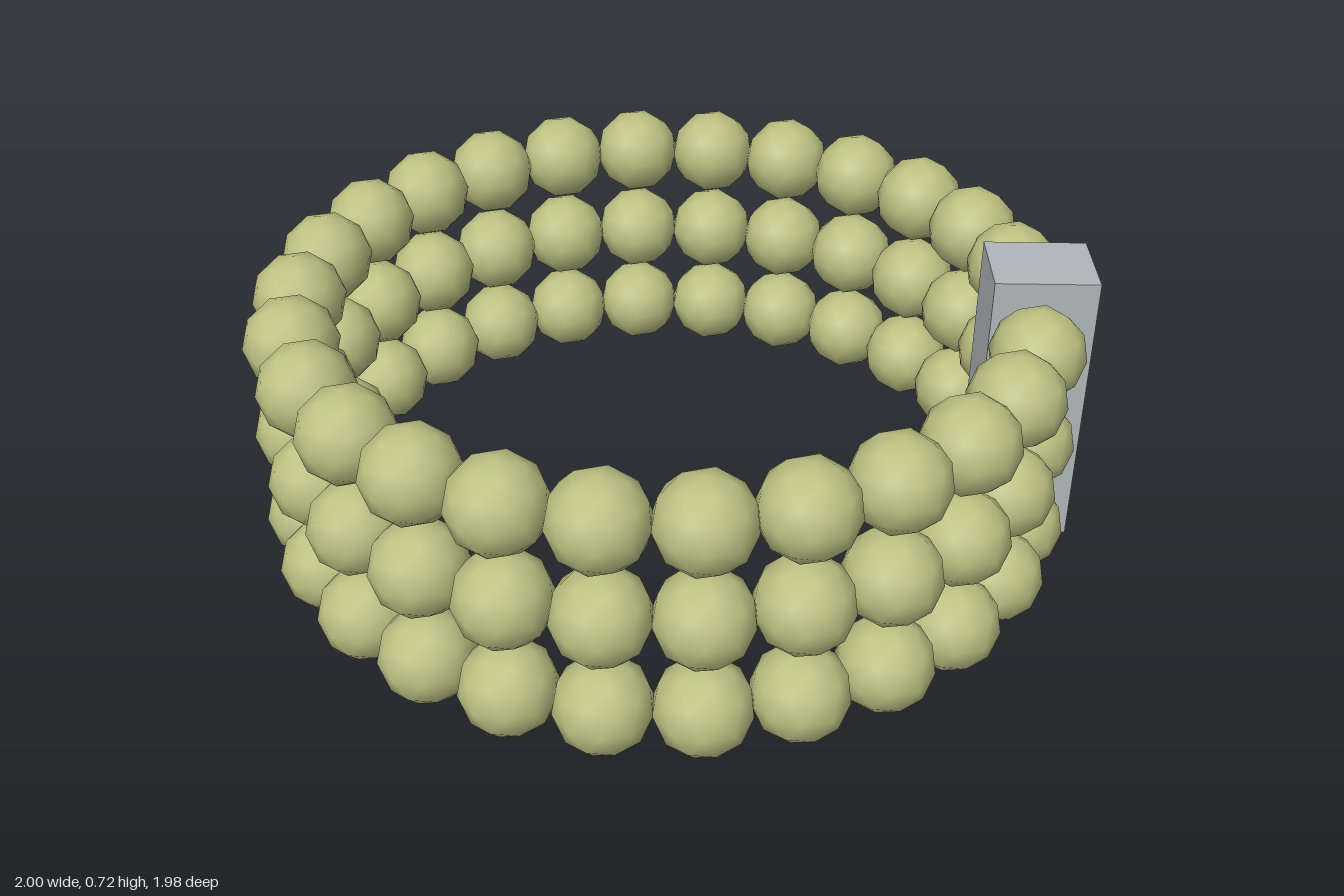
import * as THREE from 'three';

const RING_RADIUS = 0.8835;
const BEAD_RADIUS = 0.113;
const BEADS_PER_ROW = 26;
const ROW_HEIGHTS = [0.113, 0.355, 0.597];
const CENTRE_X = -0.0125;
const CENTRE_Z = -0.0025;

export function createModel() {
  const beadOlive = new THREE.MeshStandardMaterial({ color: 0xbcc182 });
  beadOlive.name = 'beadOlive';
  const claspGrey = new THREE.MeshStandardMaterial({ color: 0xb0b6ba });
  claspGrey.name = 'claspGrey';

  const model = new THREE.Group();
  model.name = 'bracelet';

  // Low-poly smooth bead, turned so that a vertex points straight up
  const beadGeometry = new THREE.IcosahedronGeometry(BEAD_RADIUS, 1);
  beadGeometry.rotateZ(-Math.atan(2 / (1 + Math.sqrt(5))));

  // Three stacked rings of beads; the first bead of each sits inside the clasp
  ROW_HEIGHTS.forEach((y, row) => {
    const ring = new THREE.Group();
    ring.name = `beadRow${row + 1}`;
    ring.position.set(CENTRE_X, y, CENTRE_Z);
    for (let i = 0; i < BEADS_PER_ROW; i++) {
      const angle = (i / BEADS_PER_ROW) * Math.PI * 2;
      const bead = new THREE.Mesh(beadGeometry, beadOlive);
      bead.name = 'bead';
      bead.position.set(Math.cos(angle) * RING_RADIUS, 0, Math.sin(angle) * RING_RADIUS);
      ring.add(bead);
    }
    model.add(ring);
  });

  // Upright block clasp joining the rows
  const clasp = new THREE.Mesh(new THREE.BoxGeometry(0.245, 0.71, 0.209), claspGrey);
  clasp.name = 'clasp';
  clasp.position.set(0.8735, 0.364, CENTRE_Z);
  model.add(clasp);

  return model;
}
